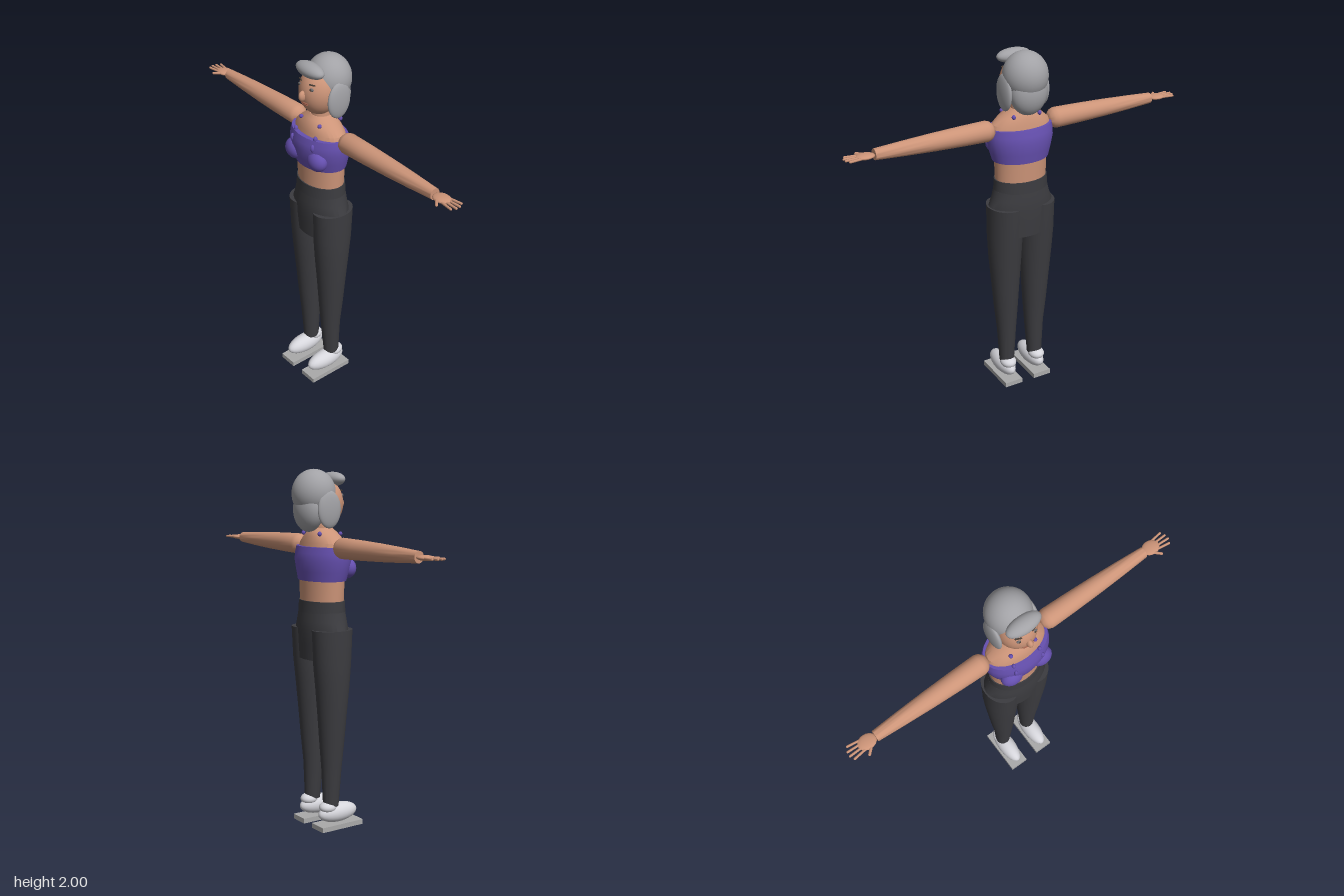
import * as THREE from 'three';
import { toCreasedNormals } from 'three/addons/utils/BufferGeometryUtils.js';

const mat = (color) => new THREE.MeshStandardMaterial({ color });
const skin = mat(0xcc9478), purple = mat(0x6650b0), dark = mat(0x3c3c40);
const hair = mat(0xa2a2a6), shoe = mat(0xd6d6dc), soleGrey = mat(0xaaaaaa);
const lip = mat(0xa0604c), brow = mat(0x4a4038), eyeGrey = mat(0x6c6c70);

function add(parent, name, geometry, material, x = 0, y = 0, z = 0) {
  const mesh = new THREE.Mesh(geometry, material);
  mesh.name = name;
  mesh.position.set(x, y, z);
  parent.add(mesh);
  return mesh;
}

// Ellipsoid given by centre and three radii
function blob(parent, name, material, [x, y, z], [rx, ry, rz], seg = 24) {
  const geometry = new THREE.SphereGeometry(1, seg, Math.round(seg * 0.6)).scale(rx, ry, rz);
  return add(parent, name, geometry, material, x, y, z);
}

// Closed loft through horizontal ellipses, rings run upward: [y, rx, rz, cx, cz]
function loft(rings, n = 28) {
  const pos = [], index = [];
  const first = rings[0], last = rings[rings.length - 1];
  const all = [[first[0], 0, 0, first[3], first[4]], ...rings, [last[0], 0, 0, last[3], last[4]]];
  all.forEach(([y, rx, rz, cx = 0, cz = 0], r) => {
    for (let i = 0; i < n; i++) {
      const a = (i / n) * Math.PI * 2;
      pos.push(cx + rx * Math.sin(a), y, cz + rz * Math.cos(a));
      if (r === 0) continue;
      const j = (i + 1) % n, lo = (r - 1) * n, hi = r * n;
      if (r > 1) index.push(lo + i, lo + j, hi + j);
      if (r === 1) index.push(lo + i, hi + j, hi + i);
      else if (r < all.length - 1) index.push(lo + i, hi + j, hi + i);
    }
  });
  const geometry = new THREE.BufferGeometry();
  geometry.setAttribute('position', new THREE.Float32BufferAttribute(pos, 3));
  geometry.setIndex(index);
  return toCreasedNormals(geometry, 0.5);
}

// Thin rounded rod between two points
function rod(parent, name, material, a, b, r) {
  const from = new THREE.Vector3(...a), to = new THREE.Vector3(...b);
  const dir = to.clone().sub(from);
  const mesh = add(parent, name, new THREE.CapsuleGeometry(r, dir.length() - 2 * r, 4, 8), material);
  mesh.position.copy(from).add(to).multiplyScalar(0.5);
  mesh.quaternion.setFromUnitVectors(new THREE.Vector3(0, 1, 0), dir.normalize());
}

function buildHead(model) {
  const head = new THREE.Group();
  head.name = 'head';
  model.add(head);
  blob(head, 'face', skin, [0, 1.815, 0.01], [0.105, 0.13, 0.107], 32);
  blob(head, 'nose', skin, [0, 1.813, 0.118], [0.017, 0.029, 0.024], 16);
  blob(head, 'upperLip', lip, [0, 1.774, 0.108], [0.034, 0.006, 0.009], 14);
  blob(head, 'lowerLip', lip, [0, 1.764, 0.105], [0.026, 0.006, 0.009], 14);
  // Hair masses
  blob(head, 'hairCap', hair, [0, 1.868, -0.055], [0.122, 0.131, 0.12], 32);
  blob(head, 'hairBack', hair, [0, 1.785, -0.09], [0.105, 0.122, 0.073], 28);
  blob(head, 'fringe', hair, [0, 1.944, 0.068], [0.1, 0.039, 0.048]);
  for (const s of [1, -1]) {
    blob(head, 'sideHair', hair, [s * 0.112, 1.785, -0.03], [0.023, 0.1, 0.073]);
    blob(head, 'eye', eyeGrey, [s * 0.046, 1.858, 0.096], [0.015, 0.009, 0.008], 14);
    blob(head, 'pupil', brow, [s * 0.046, 1.858, 0.102], [0.006, 0.006, 0.005], 10);
    rod(head, 'eyebrow', brow, [s * 0.03, 1.883, 0.1], [s * 0.064, 1.883, 0.085], 0.004);
  }
}

function buildArm(model, s) {
  const arm = new THREE.Group();
  arm.name = s > 0 ? 'leftArm' : 'rightArm';
  arm.position.set(0, 1.584, -0.01);
  // Tapered sleeve of skin, laid along x
  const profile = [[0, 0.165], [0.032, 0.172], [0.05, 0.19], [0.057, 0.212], [0.054, 0.35],
    [0.048, 0.52], [0.04, 0.68], [0.03, 0.84], [0, 0.84]];
  const limb = new THREE.LatheGeometry(profile.map(([r, l]) => new THREE.Vector2(r, l)), 24);
  limb.rotateZ(-s * Math.PI / 2);
  add(arm, 'limb', toCreasedNormals(limb, 0.6), skin);
  // Hand
  blob(arm, 'palm', skin, [s * 0.887, 0, 0], [0.051, 0.014, 0.041], 20);
  const lengths = [0.985, 0.998, 1.0, 0.988];
  lengths.forEach((tip, i) => {
    const k = i - 1.5;
    rod(arm, 'finger', skin, [s * 0.91, 0, k * 0.018], [s * tip, 0, k * 0.025], 0.0065);
  });
  rod(arm, 'thumb', skin, [s * 0.875, 0, 0.025], [s * 0.918, -0.002, 0.066], 0.0075);
  model.add(arm);
}

function buildLeg(model, s) {
  const leg = new THREE.Group();
  leg.name = s > 0 ? 'leftLeg' : 'rightLeg';
  const rings = [[0.13, 0.042, 0.045, 0.093, -0.005], [0.35, 0.056, 0.058, 0.091, 0],
    [0.5, 0.069, 0.071, 0.094, 0], [0.65, 0.08, 0.082, 0.096, 0], [0.82, 0.092, 0.097, 0.098, 0],
    [0.96, 0.097, 0.11, 0.099, -0.002], [1.135, 0.097, 0.12, 0.099, -0.003]];
  add(leg, 'trouserLeg', loft(rings.map(([y, rx, rz, cx, cz]) => [y, rx, rz, s * cx, cz])), dark);
  // Shoe
  blob(leg, 'shoe', shoe, [s * 0.095, 0.085, 0.04], [0.052, 0.056, 0.127]);
  blob(leg, 'shoeCollar', shoe, [s * 0.095, 0.125, -0.025], [0.046, 0.033, 0.054]);
  add(leg, 'sole', new THREE.BoxGeometry(0.11, 0.028, 0.275), soleGrey, s * 0.095, 0.014, 0.04);
  model.add(leg);
}

export function createModel() {
  const model = new THREE.Group();
  model.name = 'standingWoman';

  // Hips and waistband
  add(model, 'hips', loft([[0.965, 0.165, 0.112, 0, -0.004], [1.06, 0.178, 0.118, 0, -0.003],
    [1.13, 0.19, 0.121, 0, -0.003], [1.18, 0.17, 0.119, 0, -0.003], [1.23, 0.157, 0.114, 0, -0.003]], 32), dark);
  add(model, 'waistband', loft([[1.225, 0.157, 0.115, 0, -0.003], [1.29, 0.153, 0.113, 0, -0.003]], 32), dark);

  // Midriff, top, shoulders and neck
  add(model, 'midriff', loft([[1.27, 0.147, 0.106, 0, -0.003], [1.41, 0.151, 0.11, 0, -0.003]], 32), skin);
  add(model, 'top', loft([[1.4, 0.163, 0.117, 0, -0.002], [1.45, 0.177, 0.127, 0, 0.001],
    [1.51, 0.19, 0.137, 0, 0.003], [1.55, 0.19, 0.132, 0, 0.004], [1.585, 0.183, 0.122, 0, 0.003]], 32), purple);
  add(model, 'shoulders', loft([[1.57, 0.177, 0.102, 0, 0], [1.605, 0.165, 0.097, 0, 0],
    [1.64, 0.125, 0.088, 0, 0], [1.665, 0.085, 0.075, 0, -0.003], [1.683, 0.058, 0.058, 0, -0.005]], 32), skin);
  add(model, 'neck', new THREE.CylinderGeometry(0.052, 0.056, 0.09, 24), skin, 0, 1.705, -0.005);

  for (const s of [1, -1]) {
    blob(model, 'bust', purple, [s * 0.092, 1.466, 0.098], [0.063, 0.058, 0.048]);
    // Strap studs showing over the shoulder
    const studs = [[0.083, 1.545, 0.122, 0.022], [0.08, 1.59, 0.1, 0.016], [0.075, 1.652, 0.068, 0.011], [0.078, 1.655, -0.07, 0.013]];
    for (const [x, y, z, r] of studs) blob(model, 'strap', purple, [s * x, y, z], [0.011, r, 0.012], 12);
    buildArm(model, s);
    buildLeg(model, s);
  }
  buildHead(model);
  return model;
}
